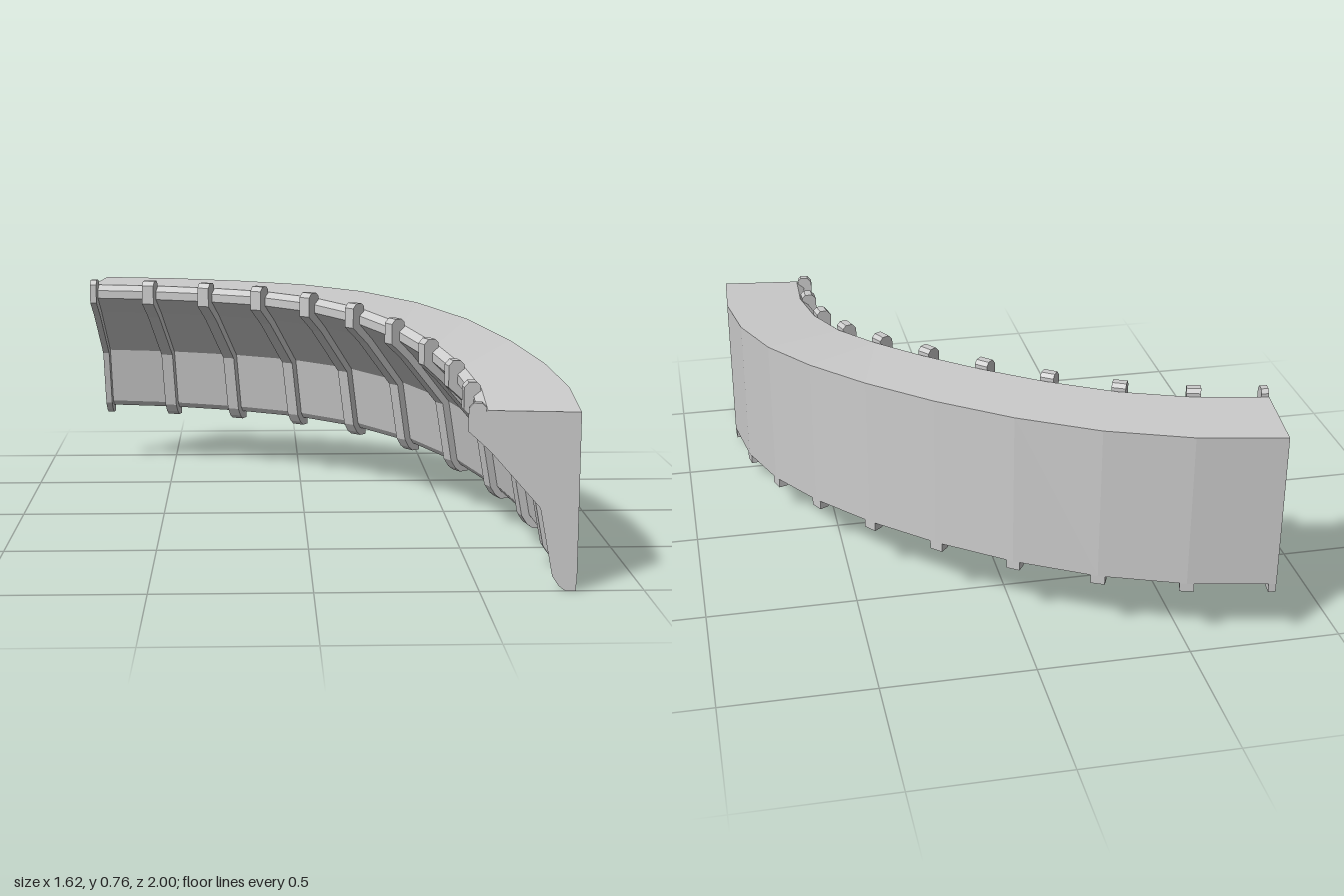
import * as THREE from 'three';

const CX = -0.989, CZ = 0.784;           // centre of the quarter arc
const START = 7, STEP = 9;               // degrees
const DROP = [0, 0, 0, 0, 0.007, 0.025, 0.055, 0.095, 0.132, 0.163, 0.19];
const angle = (i) => THREE.MathUtils.degToRad(START + STEP * i);

// Wall cross-section as (radius, height), counter-clockwise
const WALL = [
  [1.797, 0.22], [1.797, 0.74], [1.52, 0.74], [1.495, 0.72], [1.495, 0.69],
  [1.557, 0.63], [1.71, 0.455], [1.75, 0.24], [1.765, 0.22],
];

// Rib cross-section: hugs the coved inner face, hooks over the rim and under the foot
const RIB = [
  [1.795, 0.19], [1.795, 0.23], [1.77, 0.26], [1.73, 0.47], [1.58, 0.645],
  [1.515, 0.70], [1.515, 0.75], [1.503, 0.762], [1.478, 0.762], [1.463, 0.745], [1.463, 0.675],
  [1.53, 0.615], [1.682, 0.445], [1.722, 0.235], [1.742, 0.205], [1.762, 0.19],
];

const toVectors = (pts) => pts.map(([x, y]) => new THREE.Vector2(x, y));

// Sweep the wall section around the arc, lowering it station by station
function wallGeometry() {
  const n = WALL.length, last = DROP.length - 1;
  const positions = [], index = [];
  DROP.forEach((drop, i) => {
    const a = angle(i);
    for (const [r, y] of WALL) positions.push(CX + r * Math.sin(a), y - drop, CZ - r * Math.cos(a));
  });
  for (let i = 0; i < last; i++) {
    for (let j = 0; j < n; j++) {
      const k = (j + 1) % n;
      const a = i * n + j, b = a + n, c = (i + 1) * n + k, d = i * n + k;
      index.push(a, c, b, a, d, c);
    }
  }
  // End caps
  for (const [a, b, c] of THREE.ShapeUtils.triangulateShape(toVectors(WALL), [])) {
    index.push(a, c, b, last * n + a, last * n + b, last * n + c);
  }
  const g = new THREE.BufferGeometry();
  g.setAttribute('position', new THREE.Float32BufferAttribute(positions, 3));
  g.setIndex(index);
  const flat = g.toNonIndexed();
  flat.computeVertexNormals();
  return flat;
}

export function createModel() {
  const group = new THREE.Group();
  group.name = 'curvedCoveWall';
  const material = new THREE.MeshStandardMaterial({ color: 0xcccccc, flatShading: true });

  const wall = new THREE.Mesh(wallGeometry(), material);
  wall.name = 'wall';
  group.add(wall);

  // Ribs at every station; the two end ribs are half width and flush with the ends
  const shape = new THREE.Shape(toVectors(RIB));
  const last = DROP.length - 1;
  DROP.forEach((drop, i) => {
    const end = i === 0 || i === last;
    const width = end ? 0.024 : 0.046;
    const g = new THREE.ExtrudeGeometry(shape, { depth: width, bevelEnabled: false });
    g.translate(0, 0, i === 0 ? 0 : i === last ? -width : -width / 2);
    const rib = new THREE.Mesh(g, material);
    rib.name = end ? 'endRib' : 'rib';
    rib.position.set(CX, -drop, CZ);
    rib.rotation.y = Math.PI / 2 - angle(i);
    group.add(rib);
  });
  return group;
}
